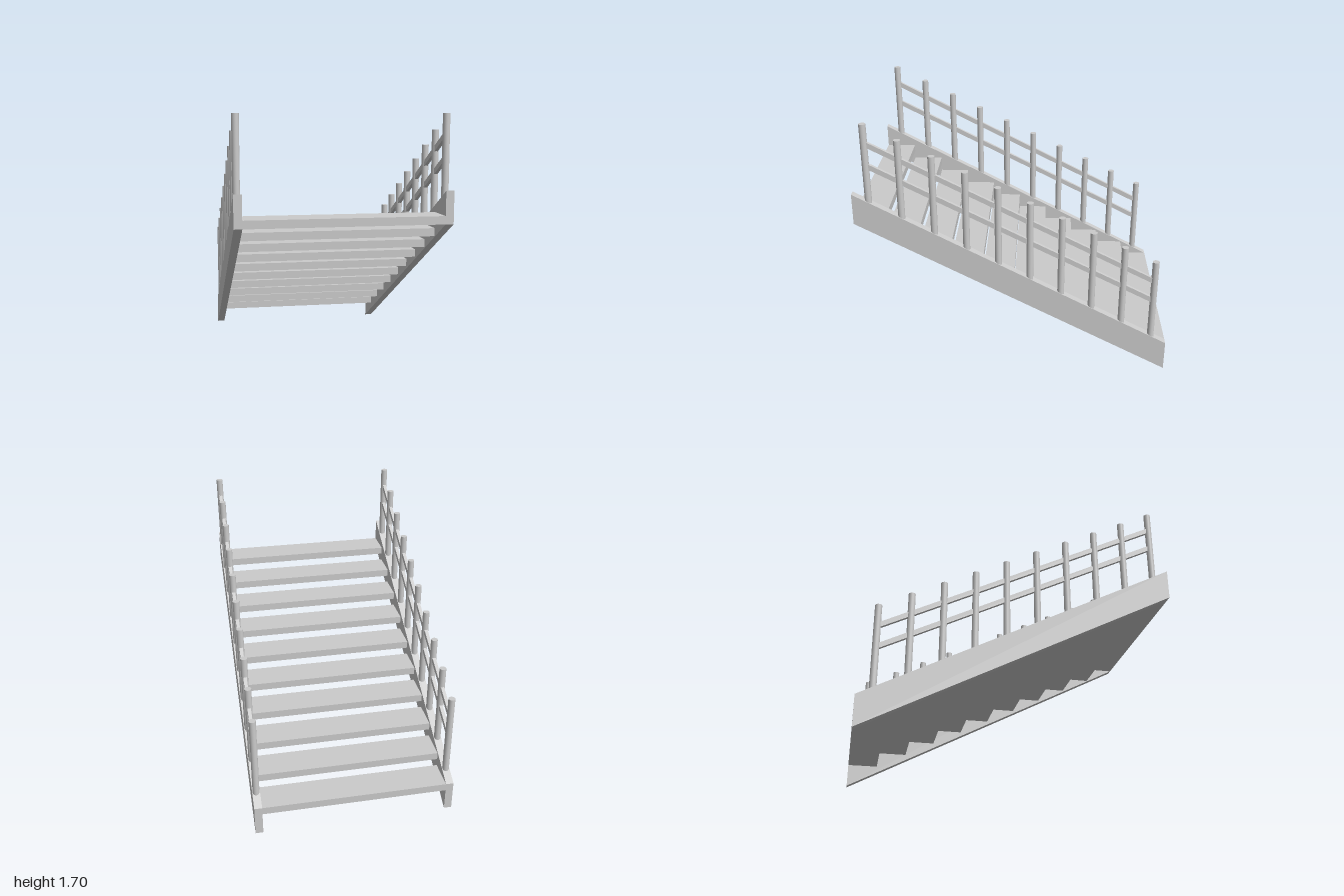
import * as THREE from 'three';

const STEPS = 10, RUN = 0.2, RISE = 0.1;
const SIDE_X = 0.625;

export function createModel() {
  const stairs = new THREE.Group();
  stairs.name = 'staircase';
  const material = new THREE.MeshStandardMaterial({ color: 0xcccccc });

  const add = (parent, name, geometry, x, y, z) => {
    const mesh = new THREE.Mesh(geometry, material);
    mesh.name = name;
    mesh.position.set(x, y, z);
    parent.add(mesh);
    return mesh;
  };

  // Stringer: slanted board with plumb-cut ends, drawn in (z, y)
  const profile = new THREE.Shape([
    new THREE.Vector2(-1, 0), new THREE.Vector2(1, 1.05),
    new THREE.Vector2(1, 1.25), new THREE.Vector2(-1, 0.2),
  ]);
  const stringerGeo = new THREE.ExtrudeGeometry(profile, { depth: 0.05, bevelEnabled: false });
  stringerGeo.translate(0, 0, -0.025).rotateY(-Math.PI / 2);

  const treadGeo = new THREE.BoxGeometry(1.2, 0.05, RUN);
  const postGeo = new THREE.CylinderGeometry(0.022, 0.022, 0.6, 16);

  // Rails run from the first post to the last
  const slope = 0.51;
  const railGeo = new THREE.BoxGeometry(0.022, 0.032, 1.8 * Math.hypot(1, slope));
  railGeo.rotateX(-Math.atan(slope));

  // Open treads, climbing towards the front
  for (let i = 0; i < STEPS; i++) {
    add(stairs, 'tread', treadGeo, 0, 0.175 + RISE * i, -0.9 + RUN * i);
  }

  // Each side: stringer, one post per tread, two rails
  for (const [name, sign] of [['left', 1], ['right', -1]]) {
    const side = new THREE.Group();
    side.name = name + 'Side';
    stairs.add(side);
    const x = sign * SIDE_X;
    add(side, 'stringer', stringerGeo, x, 0, 0);
    for (let i = 0; i < STEPS; i++) {
      add(side, 'post', postGeo, x, 0.5 + RISE * i, -0.9 + RUN * i);
    }
    add(side, 'upperRail', railGeo, x, 1.118, 0);
    add(side, 'lowerRail', railGeo, x, 0.977, 0);
  }

  return stairs;
}
